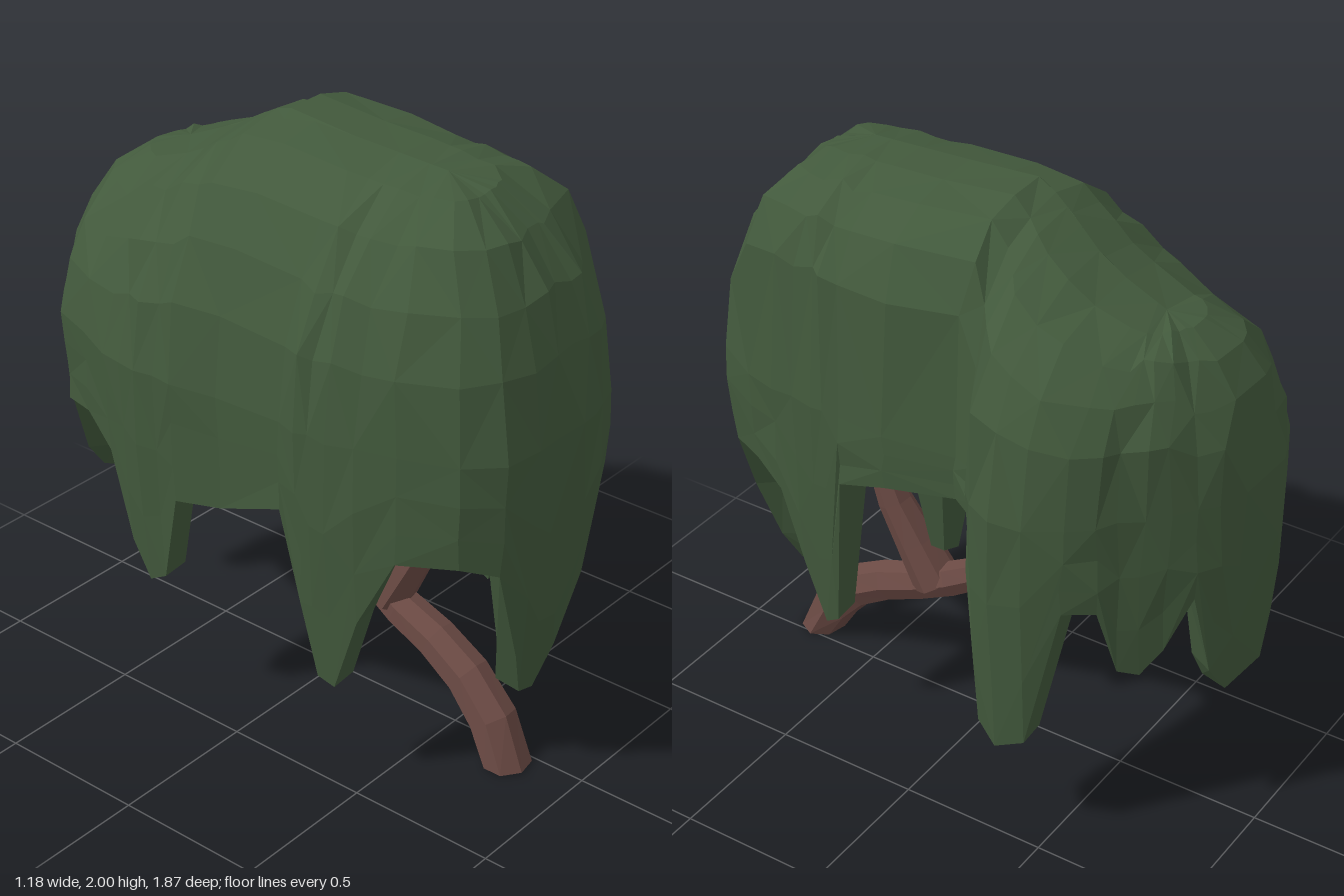
import * as THREE from 'three';

const leafGreen = new THREE.MeshStandardMaterial({ color: 0x42593c });
leafGreen.name = 'leaf green';
const barkBrown = new THREE.MeshStandardMaterial({ color: 0x6b4a44 });
barkBrown.name = 'bark brown';

// Canopy outline, anticlockwise from above: x, z, height of the hem
const outline = [
  // front strand
  [-0.34, 0.91, 0.87], [-0.2, 0.93, 0.5], [-0.1, 0.93, 0.31], [0.0, 0.93, 0.29],
  [0.08, 0.92, 0.42], [0.15, 0.91, 0.66], [0.23, 0.87, 0.9],
  // right side and its strand
  [0.31, 0.72, 0.92], [0.34, 0.6, 0.86], [0.36, 0.51, 0.6], [0.37, 0.44, 0.39], [0.37, 0.39, 0.42],
  [0.375, 0.33, 1.0], [0.385, 0.15, 1.06], [0.36, -0.1, 1.1], [0.39, -0.17, 1.08],
  // side lobe and its broad strand
  [0.48, -0.22, 0.83], [0.55, -0.28, 0.43], [0.585, -0.36, 0.38], [0.57, -0.46, 0.43],
  [0.51, -0.57, 0.95], [0.44, -0.65, 0.94],
  // back strands
  [0.385, -0.69, 0.7], [0.33, -0.74, 0.67], [0.27, -0.79, 0.75], [0.2, -0.85, 0.93], [0.13, -0.89, 0.62],
  [0.05, -0.92, 0.51], [-0.17, -0.93, 0.51], [-0.26, -0.9, 0.62], [-0.35, -0.85, 0.88],
  // left side and its strands
  [-0.45, -0.75, 0.94], [-0.51, -0.6, 0.97], [-0.56, -0.46, 0.9], [-0.575, -0.38, 0.6], [-0.585, -0.31, 0.48],
  [-0.585, -0.24, 0.52], [-0.58, -0.17, 0.83], [-0.56, 0.0, 0.86], [-0.57, 0.25, 0.96],
  [-0.575, 0.32, 0.66], [-0.575, 0.37, 0.4], [-0.57, 0.43, 0.38], [-0.55, 0.52, 0.65], [-0.52, 0.65, 0.9],
  [-0.44, 0.83, 0.91],
];

// Ridge of the canopy, front to back: z, x, height
const ridge = [[0.5, -0.1, 1.965], [0, -0.1, 1.985], [-0.12, -0.09, 2], [-0.25, -0.05, 1.93],
  [-0.4, 0, 1.84], [-0.6, 0, 1.75]];

function ridgeAt(zIn) {
  const z = THREE.MathUtils.clamp(zIn, -0.6, 0.5);
  const k = Math.max(1, ridge.findIndex((r) => r[0] <= z));
  const a = ridge[k - 1], b = ridge[k], f = (a[0] - z) / (a[0] - b[0]);
  return new THREE.Vector3(a[1] + (b[1] - a[1]) * f, a[2] + (b[2] - a[2]) * f, z);
}

function flat(geometry) {
  const g = geometry.index ? geometry.toNonIndexed() : geometry;
  g.computeVertexNormals();
  return g;
}

function makeCanopy() {
  let seed = 7;
  const jitter = (amount) => {
    seed = (seed * 16807) % 2147483647;
    return (seed / 2147483647 - 0.5) * 2 * amount;
  };
  const widest = 1.25;

  // Each column runs from the ridge over the shoulder, down to the hem and back up inside
  const columns = outline.map(([x, z, hem]) => {
    const top = ridgeAt(z);
    const dx = x - top.x, dz = z - top.z, len = Math.hypot(dx, dz);
    const at = (t, y, n = 0) => [top.x + dx * t + jitter(n), y + jitter(n), top.z + dz * t + jitter(n)];
    const power = x > 0.25 ? (z > -0.15 ? 3.6 : 2.5) : 2;
    // the first point tucks under the opposite side to close the ridge
    const points = [at(-0.12, top.y - 0.05), at(0, top.y)];
    for (const t of [0.3, 0.58, 0.8, 0.94]) {
      const y = widest + (top.y - widest) * Math.pow(1 - Math.pow(t, power), 1 / power);
      points.push(at(t, y, t < 0.5 ? 0.006 : 0.014));
    }
    points.push(at(1, widest, 0.008));
    const inset = (y) => ((z > 0.7 ? 0.13 : 0.06) * (widest - y) ** 2) / len;
    for (const f of [0.35, 0.7, 1]) {
      const y = widest + (hem - widest) * f;
      points.push(at(1 - inset(y), y, f < 1 ? 0.008 : 0));
    }
    points.push(at(1 - inset(hem) - 0.09 / len, hem + 0.01));
    points.push(at(1 - Math.min(0.6, 0.18 / len), 1.12));
    points.push(at(0, 1.17), at(-0.1, 1.19));
    return points;
  });

  const rows = columns[0].length, index = [];
  for (let i = 0; i < columns.length; i++) {
    const next = (i + 1) % columns.length;
    for (let j = 0; j < rows - 1; j++) {
      const a = i * rows + j, b = a + 1, d = next * rows + j, c = d + 1;
      if ((i + j) % 2) index.push(a, b, c, a, c, d);
      else index.push(a, b, d, b, c, d);
    }
  }
  const g = new THREE.BufferGeometry();
  g.setAttribute('position', new THREE.Float32BufferAttribute(columns.flat(2), 3));
  g.setIndex(index);
  return flat(g);
}

// Tapered limb along a curve through the given points
function makeLimb(points, r0, r1, steps, grounded = false) {
  const curve = new THREE.CatmullRomCurve3(points.map((p) => new THREE.Vector3(...p)));
  const sides = 7;
  const g = new THREE.TubeGeometry(curve, steps, 1, sides);
  const pos = g.attributes.position, v = new THREE.Vector3();
  for (let i = 0; i < pos.count; i++) {
    const ring = Math.floor(i / (sides + 1));
    const centre = curve.getPointAt(ring / steps);
    v.fromBufferAttribute(pos, i).sub(centre).multiplyScalar(r0 + (r1 - r0) * (ring / steps)).add(centre);
    if (grounded && ring === 0) v.y = 0;
    pos.setXYZ(i, v.x, v.y, v.z);
  }
  return flat(g);
}

export function createModel() {
  const group = new THREE.Group();
  group.name = 'weepingTree';
  const add = (name, geometry, material) => {
    const mesh = new THREE.Mesh(geometry, material);
    mesh.name = name;
    group.add(mesh);
    return mesh;
  };

  add('canopy', makeCanopy(), leafGreen);

  // Short tuft hanging inside the right edge
  const tuft = add('innerTuft', flat(new THREE.CylinderGeometry(0.13, 0.05, 0.4, 6)), leafGreen);
  tuft.position.set(0.2, 0.99, 0.05);

  // Leaning trunk and its branches
  add('trunk', makeLimb([[-0.07, 0, 0.76], [-0.06, 0.18, 0.66], [-0.05, 0.3, 0.5], [-0.04, 0.42, 0.23],
    [0, 0.58, 0], [0.03, 0.78, -0.2], [0.05, 0.95, -0.42], [0.06, 1.15, -0.62]], 0.085, 0.025, 12, true), barkBrown);
  add('frontBranch', makeLimb([[-0.04, 0.41, 0.25], [-0.03, 0.54, 0.32], [-0.01, 0.75, 0.42], [0, 1.16, 0.53]],
    0.085, 0.02, 5), barkBrown);
  add('middleBranch', makeLimb([[0.03, 0.77, -0.2], [0.09, 0.92, -0.16], [0.18, 1.16, -0.1]],
    0.045, 0.035, 4), barkBrown);
  add('leftBranch', makeLimb([[0.04, 0.88, -0.32], [-0.06, 1.0, -0.38], [-0.2, 1.17, -0.42]],
    0.035, 0.02, 4), barkBrown);

  // Cut end of the trunk on the ground
  const base = add('trunkBase', new THREE.CircleGeometry(0.08, 7), barkBrown);
  base.rotation.x = Math.PI / 2;
  base.position.set(-0.07, 0.001, 0.76);

  return group;
}
